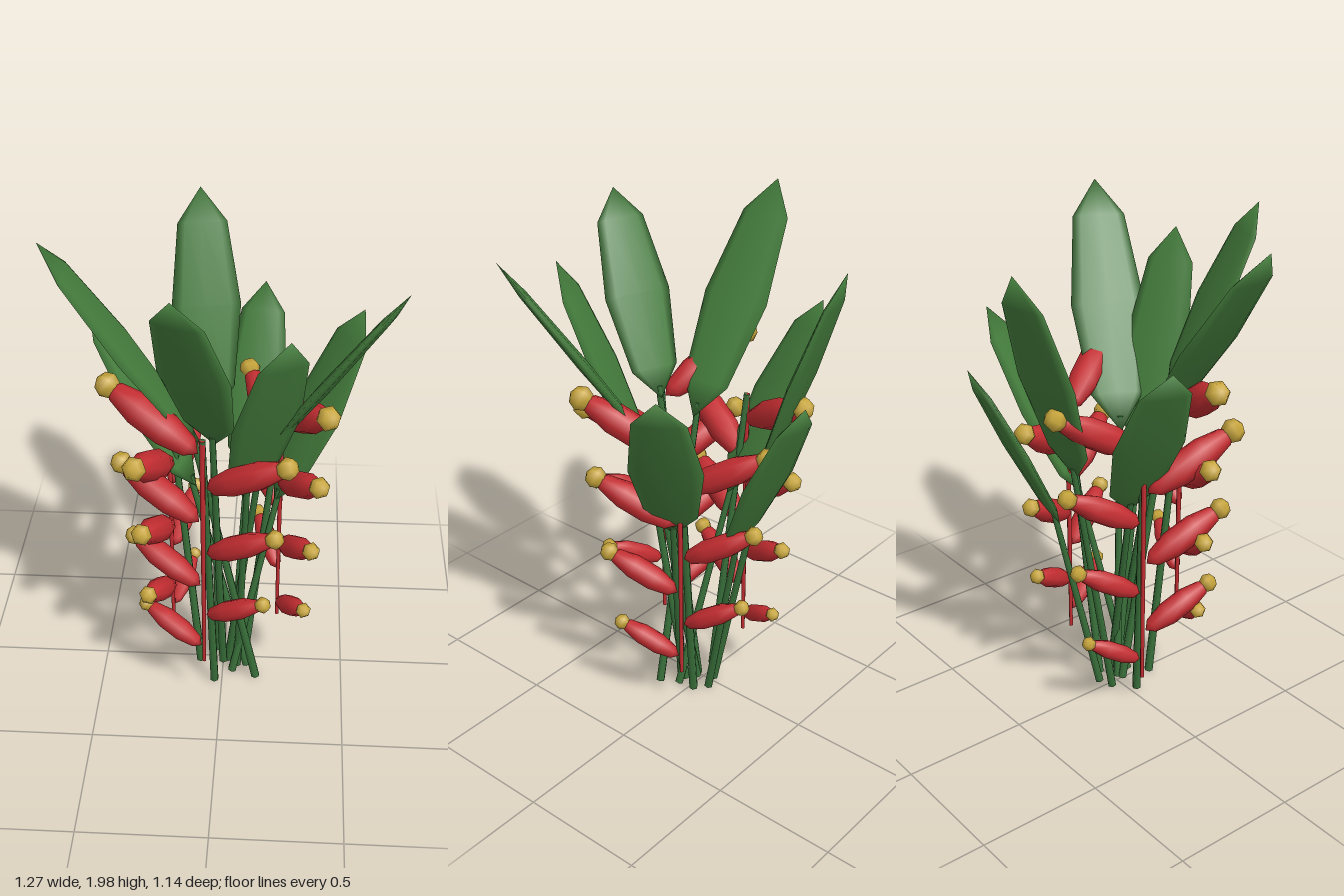
import * as THREE from 'three';

const mat = (name, color) => {
  const m = new THREE.MeshStandardMaterial({ color });
  m.name = name;
  return m;
};
const v = (p) => new THREE.Vector3(...p);
const UP = new THREE.Vector3(0, 1, 0);

export function createModel() {
  const group = new THREE.Group();
  const leafGreen = mat('leafGreen', 0x447c3c);
  const stemGreen = mat('stemGreen', 0x39703a);
  const red = mat('bractRed', 0xc42d31);
  const yellow = mat('tipYellow', 0xc8a63c);

  const leafGeo = new THREE.SphereGeometry(1, 8, 4);
  const bractGeo = new THREE.SphereGeometry(1, 8, 5);
  const tipGeo = new THREE.SphereGeometry(1, 6, 4);

  // stretches a unit ball from a to b with the given half width and half thickness
  function spindle(name, geo, material, a, b, width, thick) {
    const axis = b.clone().sub(a);
    const half = axis.length() / 2;
    axis.normalize();
    const side = new THREE.Vector3().crossVectors(axis, UP).normalize();
    const face = new THREE.Vector3().crossVectors(side, axis);
    const mesh = new THREE.Mesh(geo, material);
    mesh.name = name;
    mesh.quaternion.setFromRotationMatrix(new THREE.Matrix4().makeBasis(side, axis, face));
    mesh.position.copy(a).add(b).multiplyScalar(0.5);
    mesh.scale.set(width, half, thick);
    group.add(mesh);
  }

  // straight tapered rod from a to b
  function rod(name, material, a, b, r0, r1) {
    const d = b.clone().sub(a);
    const mesh = new THREE.Mesh(new THREE.CylinderGeometry(r1, r0, d.length(), 6), material);
    mesh.name = name;
    mesh.position.copy(a).add(b).multiplyScalar(0.5);
    mesh.quaternion.setFromUnitVectors(UP, d.normalize());
    group.add(mesh);
  }

  // leaves: root on the ground, blade base, blade tip, half width
  const leaves = [
    [[0.14, 0.01, 0.12], [-0.08, 1.17, 0.12], [-0.635, 1.99, 0.15], 0.147],
    [[0.0, 0.01, 0.03], [-0.02, 1.24, 0.23], [-0.14, 1.99, 0.57], 0.14],
    [[0.06, 0.01, 0.05], [0.09, 0.97, 0.18], [0.25, 1.82, 0.5], 0.135],
    [[0.02, 0.01, 0.02], [0.12, 1.08, 0.12], [0.635, 1.95, 0.39], 0.15],
    [[0.04, 0.01, 0.09], [0.2, 0.82, -0.02], [0.525, 1.57, -0.23], 0.14],
    [[0.1, 0.01, 0.05], [-0.11, 0.87, -0.03], [-0.52, 1.6, -0.17], 0.14],
    [[-0.02, 0.01, -0.04], [-0.06, 1.05, -0.24], [-0.12, 1.92, -0.54], 0.138],
    [[0.04, 0.01, -0.06], [0.08, 0.79, -0.22], [0.14, 1.51, -0.57], 0.125],
  ];
  for (const [root, base, tip, w] of leaves) {
    const end = v(base).lerp(v(tip), 0.06);
    rod('leafStem', stemGreen, v(root), end, 0.018, 0.013);
    spindle('leaf', leafGeo, leafGreen, v(base), v(tip), w, 0.022);
  }

  // hanging flowers: axis x/z, top and bottom heights, stalk root,
  // then two opposite rows of bracts as [count, first tip, last tip]
  const flowers = [
    {
      x: -0.215, z: -0.04, top: 1.27, bottom: 0.155, root: [-0.095, 0.01, 0.03],
      rows: [[4, [-0.12, 1.35, -0.375], [-0.14, 0.36, -0.25]],
        [3, [-0.31, 1.18, 0.32], [-0.285, 0.525, 0.24]]],
    },
    {
      x: -0.063, z: 0.27, top: 1.28, bottom: 0.22, root: [-0.03, 0.01, 0.15],
      rows: [[4, [-0.42, 1.42, 0.13], [-0.3, 0.43, 0.175]],
        [3, [0.25, 1.25, 0.39], [0.17, 0.595, 0.36]]],
    },
    {
      x: 0.222, z: -0.07, top: 1.22, bottom: 0.195, root: [0.09, 0.01, -0.02],
      rows: [[4, [0.39, 1.385, 0.26], [0.33, 0.4, 0.15]],
        [3, [0.085, 1.22, -0.37], [0.13, 0.56, -0.3]]],
    },
  ];
  for (const f of flowers) {
    const top = new THREE.Vector3(f.x, f.top, f.z);
    rod('flowerStalk', stemGreen, v(f.root), top, 0.018, 0.013);
    rod('flowerAxis', red, new THREE.Vector3(f.x, f.bottom, f.z), top, 0.008, 0.012);
    for (const [count, first, last] of f.rows) {
      for (let i = 0; i < count; i++) {
        const tip = v(first).lerp(v(last), i / (count - 1));
        const reach = Math.hypot(tip.x - f.x, tip.z - f.z);
        const foot = new THREE.Vector3(f.x, tip.y - 0.55 * reach, f.z);
        const r = reach * 0.175;
        const dir = tip.clone().sub(foot).normalize();
        const start = foot.clone().addScaledVector(dir, r * 0.3);
        spindle('bract', bractGeo, red, start, tip, r, r);
        spindle('bractTip', tipGeo, yellow,
          tip.clone().addScaledVector(dir, -r * 0.7),
          tip.clone().addScaledVector(dir, r * 0.7), r * 0.75, r * 0.75);
      }
    }
  }
  return group;
}
